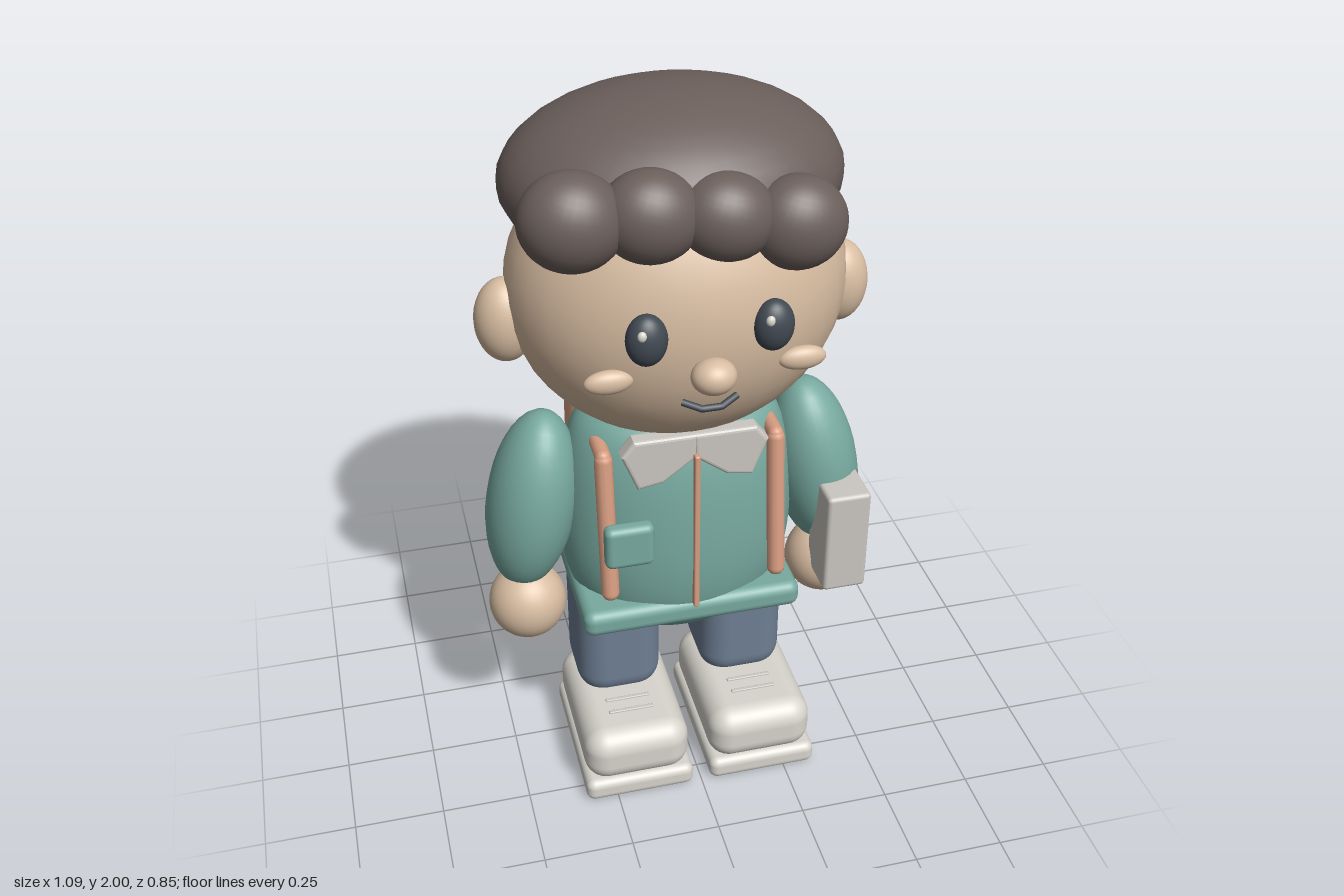
import * as THREE from 'three';
import { RoundedBoxGeometry } from 'three/addons/geometries/RoundedBoxGeometry.js';

const material = (name, color) => {
  const m = new THREE.MeshStandardMaterial({ color });
  m.name = name;
  return m;
};

export function createModel() {
  const skin = material('skin', 0xd8bda2);
  const hair = material('hair brown', 0x6b5f5b);
  const teal = material('jacket teal', 0x78aaa0);
  const denim = material('trouser blue', 0x6e7f94);
  const orange = material('pack orange', 0xd99e82);
  const shoe = material('shoe white', 0xd8d5cd);
  const paper = material('pale grey', 0xcbc7c1);
  const dark = material('dark slate', 0x414952);

  const model = new THREE.Group();
  model.name = 'figure';

  const add = (name, geometry, mat, pos = [0, 0, 0], rotZ = 0) => {
    const mesh = new THREE.Mesh(geometry, mat);
    mesh.name = name;
    mesh.position.set(...pos);
    mesh.rotation.z = rotZ;
    model.add(mesh);
    return mesh;
  };
  const ball = (name, mat, pos, radii, rotZ = 0) =>
    add(name, new THREE.SphereGeometry(1, 32, 20).scale(...radii), mat, pos, rotZ);
  const box = (name, mat, pos, size, radius, segments = 4) =>
    add(name, new RoundedBoxGeometry(...size, segments, radius), mat, pos);
  const rod = (name, mat, a, b, radius) => {
    const from = new THREE.Vector3(...a), to = new THREE.Vector3(...b);
    const mid = from.clone().add(to).multiplyScalar(0.5);
    const mesh = add(name, new THREE.CapsuleGeometry(radius, from.distanceTo(to), 4, 12), mat, mid.toArray());
    mesh.quaternion.setFromUnitVectors(new THREE.Vector3(0, 1, 0), to.sub(from).normalize());
    return mesh;
  };

  // Head, hair cap and the fringe of four curls
  ball('head', skin, [0, 1.5, 0], [0.445, 0.42, 0.36]);
  ball('hairCap', hair, [0, 1.772, -0.045], [0.44, 0.228, 0.35]);
  [
    [-0.31, 1.805, 0.25, 0.13, 0.122, 0.108],
    [-0.125, 1.8, 0.255, 0.125, 0.115, 0.1],
    [0.055, 1.782, 0.26, 0.125, 0.11, 0.1],
    [0.232, 1.748, 0.262, 0.125, 0.118, 0.1],
  ].forEach(([x, y, z, ...r]) => ball('fringeCurl', hair, [x, y, z], r, -0.25));

  // Face
  ball('nose', skin, [0, 1.42, 0.375], [0.057, 0.046, 0.05]);
  const smile = new THREE.CurvePath();
  const [m0, m1, m2, m3] = [[-0.07, 1.335, 0.338], [-0.025, 1.322, 0.36], [0.025, 1.322, 0.36], [0.07, 1.335, 0.338]]
    .map((p) => new THREE.Vector3(...p));
  [[m0, m1], [m1, m2], [m2, m3]].forEach(([a, b]) => smile.add(new THREE.LineCurve3(a, b)));
  add('mouth', new THREE.TubeGeometry(smile, 24, 0.009, 8), dark);

  // Torso with a wide shoulder line, squashed front to back
  const profile = [[0, 0.39], [0.12, 0.41], [0.225, 0.47], [0.295, 0.56], [0.328, 0.7], [0.328, 0.88],
    [0.305, 1.03], [0.255, 1.125], [0.15, 1.165], [0, 1.175]].map((p) => new THREE.Vector2(...p));
  const smooth = new THREE.SplineCurve(profile).getPoints(36);
  smooth.forEach((p) => { p.x = Math.max(p.x, 0); });
  const torso = new THREE.LatheGeometry(smooth, 40).scale(1, 1, 0.72);
  add('torso', torso, teal, [0, 0, -0.01]);
  box('jacketHem', teal, [0, 0.557, 0.007], [0.62, 0.08, 0.42], 0.03);
  box('zip', orange, [0, 0.845, 0.228], [0.016, 0.5, 0.022], 0.005, 2);
  box('chestPocket', teal, [-0.183, 0.83, 0.217], [0.135, 0.13, 0.05], 0.02);

  // Backpack
  box('backpack', orange, [0, 0.873, -0.327], [0.5, 0.545, 0.2], 0.09, 3);

  // Object carried at the left hand
  box('book', paper, [0.441, 0.712, 0.137], [0.125, 0.318, 0.15], 0.012, 2);

  for (const s of [-1, 1]) {
    // Eyes, cheeks and ears
    ball('eye', dark, [s * 0.157, 1.522, 0.34], [0.052, 0.068, 0.042]);
    ball('eyeGlint', shoe, [s * 0.157 - 0.017, 1.55, 0.371], [0.012, 0.014, 0.01]);
    ball('cheek', skin, [s * 0.245, 1.4, 0.308], [0.062, 0.032, 0.025]);
    ball('ear', skin, [s * 0.445, 1.43, -0.01], [0.08, 0.116, 0.077]);

    // Arms and hands
    ball('arm', teal, [s * 0.405, 0.86, -0.012], [0.124, 0.278, 0.144], s * 0.18);
    ball('hand', skin, [s * 0.438, 0.54, 0.02], [0.109, 0.113, 0.104]);

    // Legs
    box('leg', denim, [s * 0.184, 0.39, -0.03], [0.245, 0.42, 0.27], 0.08, 5);

    // Shoes: sole, upper and laces
    box('shoeSole', shoe, [s * 0.183, 0.035, 0.088], [0.316, 0.07, 0.472], 0.025);
    box('shoeUpper', shoe, [s * 0.183, 0.135, 0.09], [0.305, 0.17, 0.455], 0.065, 5);
    for (const z of [0.15, 0.2]) box('lace', paper, [s * 0.183, 0.221, z], [0.13, 0.008, 0.012], 0.003, 2);

    // Pack straps: front, over the shoulder, and back to the pack
    rod('strapFront', orange, [s * 0.235, 1.07, 0.158], [s * 0.235, 0.67, 0.205], 0.025);
    rod('strapShoulder', orange, [s * 0.235, 1.08, 0.155], [s * 0.235, 1.085, -0.16], 0.022);
    rod('strapBack', orange, [s * 0.235, 1.085, -0.16], [s * 0.2, 1.08, -0.31], 0.022);

    // Collar flaps
    const flap = new THREE.Shape([[0.005, 1.14], [0.008, 1.083], [0.09, 1.022], [0.15, 1.012], [0.187, 1.105], [0.16, 1.14]]
      .map(([x, y]) => new THREE.Vector2(s * x, y)));
    add('collarFlap', new THREE.ExtrudeGeometry(flap, {
      depth: 0.03, bevelSize: 0.01, bevelThickness: 0.01, bevelSegments: 3,
    }), paper, [0, 0, 0.178]);
  }

  return model;
}
